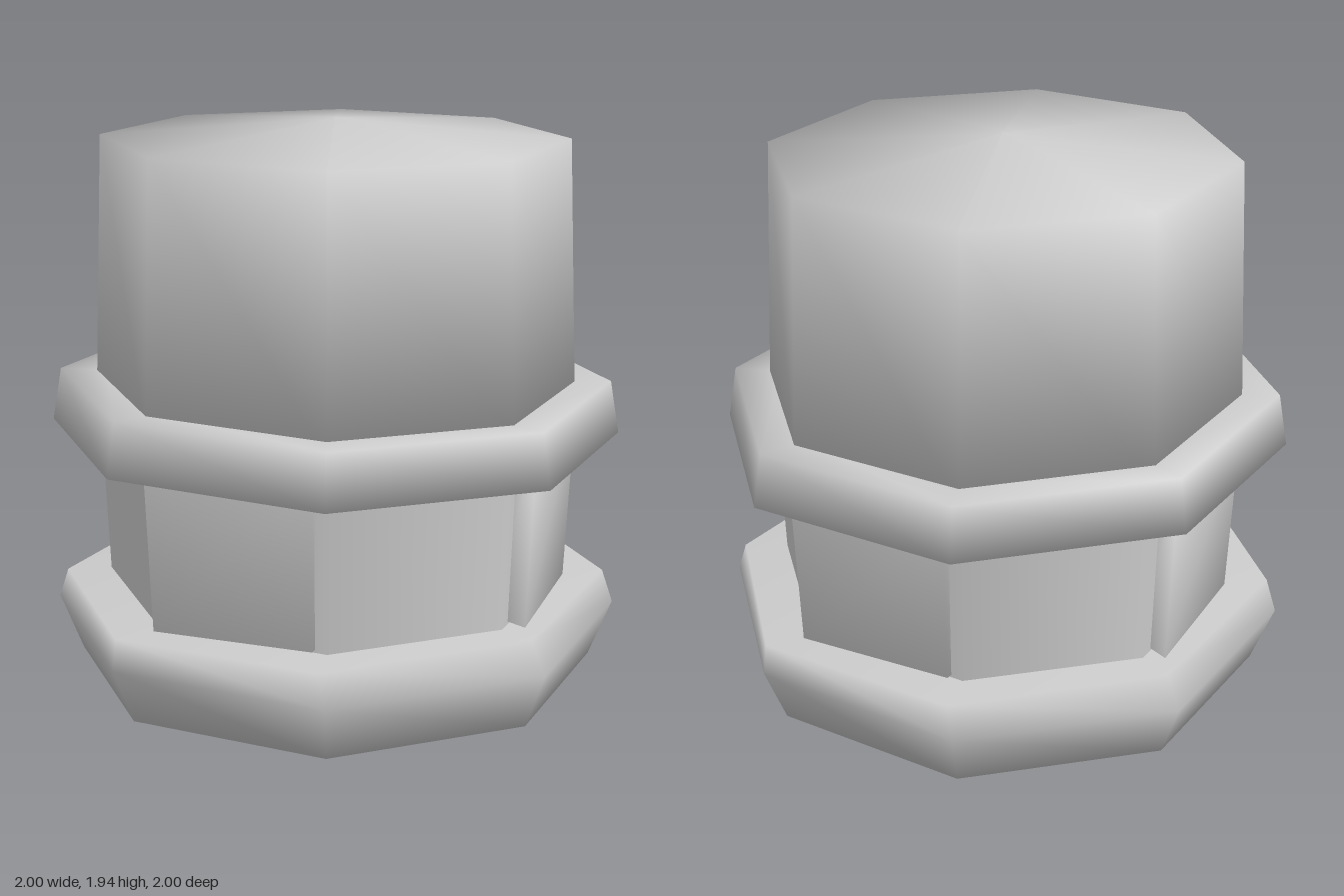
import * as THREE from 'three';
import { mergeVertices } from 'three/addons/utils/BufferGeometryUtils.js';

const material = new THREE.MeshStandardMaterial({ color: 0xcccccc, side: THREE.DoubleSide });

// Eight-sided turned part with corners on the x and z axes; profile runs bottom to top
function octagon(name, profile, moveVertex) {
  const geo = new THREE.LatheGeometry(profile.map(([r, y]) => new THREE.Vector2(r, y)), 8);
  if (moveVertex) warp(geo, moveVertex);
  const mesh = new THREE.Mesh(geo, material);
  mesh.name = name;
  return mesh;
}

function warp(geo, fn) {
  const p = geo.attributes.position;
  const v = new THREE.Vector3();
  for (let i = 0; i < p.count; i++) {
    fn(v.fromBufferAttribute(p, i));
    p.setXYZ(i, v.x, v.y, v.z);
  }
}

// Softly shaded block that widens slightly towards its top
function panelGeometry() {
  let geo = new THREE.BoxGeometry(1, 1, 1);
  geo.deleteAttribute('normal');
  geo.deleteAttribute('uv');
  geo = mergeVertices(geo);
  warp(geo, (v) => {
    const flare = v.y > 0 ? 1.017 : 0.985;
    const [x, z] = v.z > 0
      ? (v.x > 0 ? [0.55, 0.62] : [0.05, 0.88])
      : (v.x > 0 ? [0.5, 0.5] : [0.05, 0.7]);
    v.set(x * flare, v.y > 0 ? 0.9 : 0.32, z * flare);
  });
  geo.computeVertexNormals();
  return geo;
}

export function createModel() {
  const model = new THREE.Group();
  model.name = 'octagonalCappedPost';

  // Foot, with its upper rim a little wider from side to side
  model.add(octagon('base', [[0, 0], [0.92, 0], [1, 0.2], [0.94, 0.31], [0, 0.31]], (v) => {
    if (v.y > 0.3) v.x *= 1.05;
  }));

  // Recessed waist
  model.add(octagon('core', [[0.807, 0.25], [0.835, 0.95]]));

  // Raised panels on every other side of the waist
  const panel = panelGeometry();
  for (let i = 0; i < 4; i++) {
    const mesh = new THREE.Mesh(panel, material);
    mesh.name = 'sidePanel' + (i + 1);
    mesh.rotation.y = i * Math.PI / 2;
    model.add(mesh);
  }

  // Collar, tilted very slightly
  model.add(octagon('collar', [[0.78, 0.85], [1, 0.85], [0.968, 1.035], [0.8, 1.03]], (v) => {
    v.y -= 0.01 * v.x + 0.014 * v.z;
  }));

  // Tapered cap with a shallow pointed top
  model.add(octagon('cap', [[0, 0.98], [0.842, 0.98], [0.805, 1.872], [0, 1.937]], (v) => {
    if (v.y > 1.8) v.y -= 0.008 * v.z;
  }));

  return model;
}
